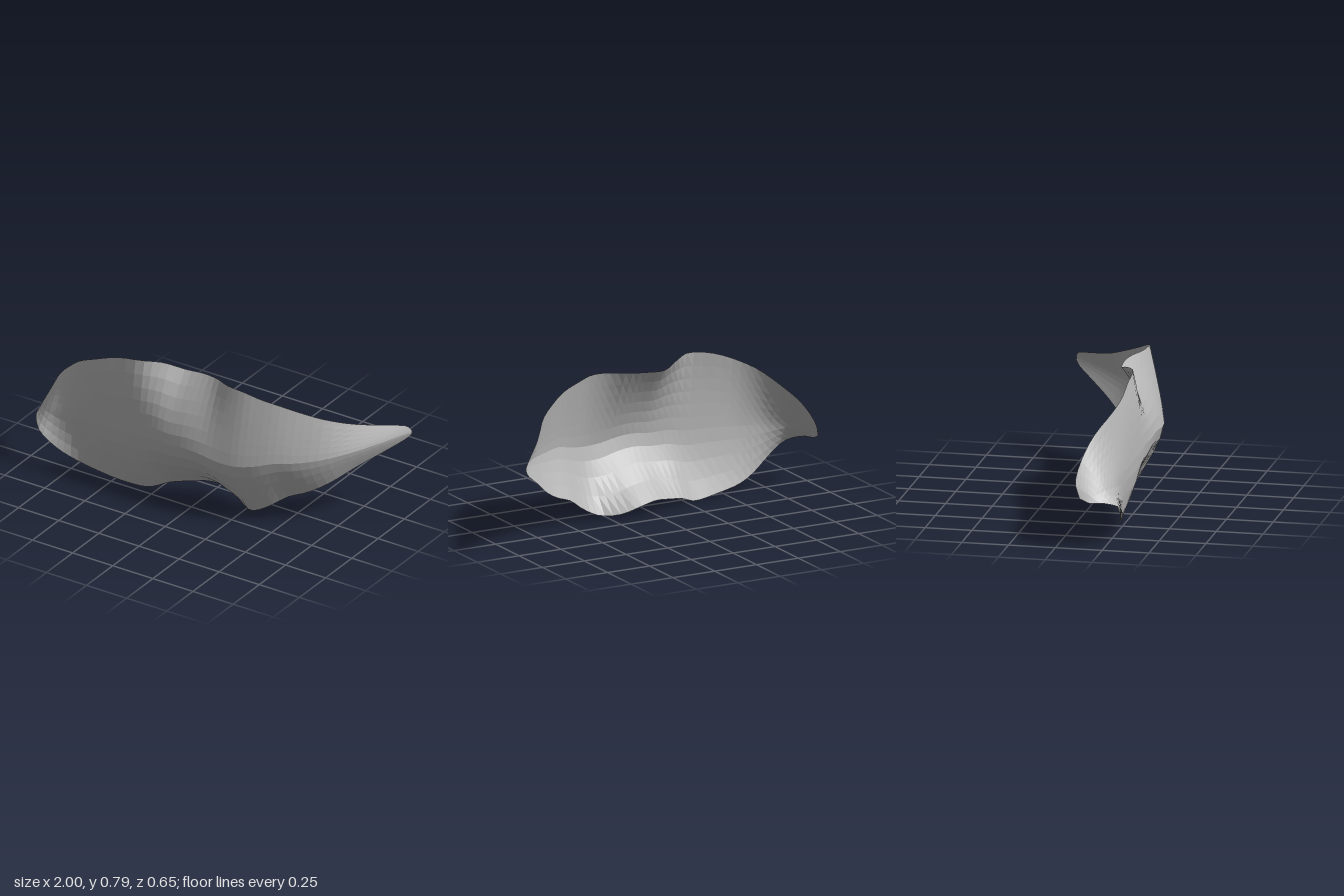
import * as THREE from 'three';

// Stations along the leaf: [x, bottom y, bottom z, top y, top z, ridge z]
const STATIONS = [
  [-1.0, 0.25, 0.18, 0.27, 0.13, 0.158],
  [-0.97, 0.245, 0.25, 0.35, 0.10, 0.188],
  [-0.9, 0.21, 0.32, 0.465, 0.122, 0.24],
  [-0.8, 0.14, 0.315, 0.565, 0.165, 0.268],
  [-0.7, 0.08, 0.28, 0.65, 0.228, 0.284],
  [-0.6, 0.04, 0.25, 0.705, 0.262, 0.296],
  [-0.45, 0.012, 0.23, 0.765, 0.268, 0.302],
  [-0.3, 0.002, 0.195, 0.79, 0.264, 0.307],
  [-0.2, 0.04, 0.15, 0.78, 0.205, 0.311],
  [-0.1, 0.06, 0.115, 0.75, 0.157, 0.315],
  [0.0, 0.075, 0.08, 0.755, 0.15, 0.317],
  [0.1, 0.06, 0.062, 0.76, 0.165, 0.317],
  [0.2, 0.025, 0.09, 0.765, 0.208, 0.312],
  [0.3, 0.02, 0.142, 0.765, 0.218, 0.3],
  [0.4, 0.07, 0.14, 0.74, 0.2, 0.27],
  [0.5, 0.14, 0.095, 0.715, 0.165, 0.225],
  [0.6, 0.18, 0.055, 0.675, 0.108, 0.165],
  [0.7, 0.24, -0.005, 0.63, 0.03, 0.085],
  [0.8, 0.32, -0.1, 0.575, -0.1, -0.025],
  [0.9, 0.39, -0.21, 0.545, -0.22, -0.165],
  [0.98, 0.45, -0.305, 0.52, -0.31, -0.29],
  [1.0, 0.475, -0.325, 0.495, -0.325, -0.322],
];
const RIDGE = 0.45; // height fraction of the ridge
const COLS = 56;
const ROWS = [0, 0.12, 0.24, 0.35, 0.45, 0.54, 0.63, 0.72, 0.81, 0.9, 1];
const { lerp, smoothstep } = THREE.MathUtils;

// Smooth curves through the lower edge, ridge and upper edge
const curveOf = (pick) => new THREE.CatmullRomCurve3(STATIONS.map((s) => new THREE.Vector3(...pick(s))), false, 'centripetal');

function leafGeometry() {
  const lower = curveOf(([x, yb, zb]) => [x, yb, zb]);
  const ridge = curveOf(([x, yb, , yt, , zm]) => [x, yb + (yt - yb) * RIDGE, zm]);
  const upper = curveOf(([x, , , yt, zt]) => [x, yt, zt]);
  const positions = [];
  const index = [];
  const n = ROWS.length;
  for (let i = 0; i <= COLS; i++) {
    const t = i / COLS;
    const b = lower.getPoint(t), m = ridge.getPoint(t), u = upper.getPoint(t);
    // Flat, tilted cross-section at the blunt end, rounded middle, flatter sides toward the tip
    const round = smoothstep(m.x, -0.85, -0.45);
    const lowerPower = lerp(1.1, lerp(1.9, 1.4, smoothstep(m.x, -0.05, 0.35)), round);
    const upperPower = lerp(1.1, lerp(2.2, 1.2, smoothstep(m.x, -0.3, 0.25)), round);
    for (const v of ROWS) {
      const below = v < RIDGE;
      const s = below ? (RIDGE - v) / RIDGE : (v - RIDGE) / (1 - RIDGE);
      const edge = below ? b : u;
      const bend = Math.pow(s, below ? lowerPower : upperPower);
      positions.push(lerp(m.x, edge.x, s), lerp(m.y, edge.y, s), lerp(m.z, edge.z, bend));
    }
  }
  for (let i = 0; i < COLS; i++) {
    for (let j = 0; j < n - 1; j++) {
      const a = i * n + j, c = a + n;
      index.push(a, c, c + 1, a, c + 1, a + 1);
    }
  }
  const geometry = new THREE.BufferGeometry();
  geometry.setAttribute('position', new THREE.Float32BufferAttribute(positions, 3));
  geometry.setIndex(index);
  geometry.computeVertexNormals();
  return geometry;
}

export function createModel() {
  const group = new THREE.Group();
  group.name = 'curledLeaf';
  const grey = new THREE.MeshStandardMaterial({ color: 0xb8b8b8, flatShading: true, side: THREE.DoubleSide });
  grey.name = 'leaf grey';
  // One thin curled blade
  const blade = new THREE.Mesh(leafGeometry(), grey);
  blade.name = 'leafBlade';
  group.add(blade);
  return group;
}
